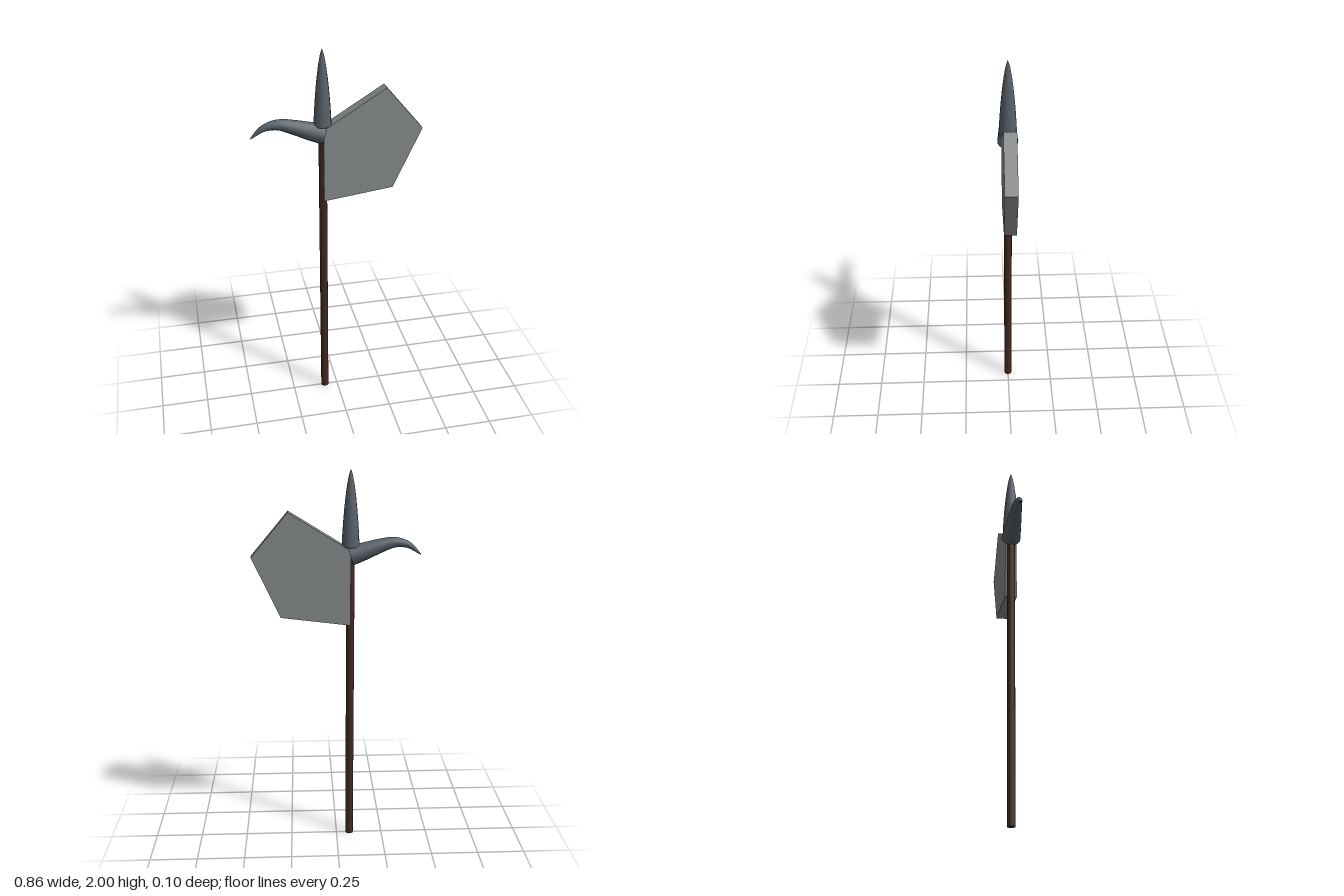
import * as THREE from 'three';
import { mergeVertices } from 'three/addons/utils/BufferGeometryUtils.js';

const AXIS = -0.071; // x of the shaft's centre line

function makeMesh(name, geometry, material) {
  const mesh = new THREE.Mesh(geometry, material);
  mesh.name = name;
  return mesh;
}

// Tube along a curve whose radius follows a rule of u (0 to 1)
function taperedTube(curve, steps, sides, radiusAt) {
  const geo = new THREE.TubeGeometry(curve, steps, 1, sides, false);
  const pos = geo.attributes.position;
  const p = new THREE.Vector3();
  for (let i = 0; i <= steps; i++) {
    const centre = curve.getPointAt(i / steps);
    for (let j = 0; j <= sides; j++) {
      const k = i * (sides + 1) + j;
      p.fromBufferAttribute(pos, k).sub(centre).multiplyScalar(radiusAt(i / steps)).add(centre);
      pos.setXYZ(k, p.x, p.y, p.z);
    }
  }
  geo.deleteAttribute('uv');
  geo.deleteAttribute('normal');
  const merged = mergeVertices(geo, 1e-5);
  merged.computeVertexNormals();
  return merged;
}

export function createModel() {
  const wood = new THREE.MeshStandardMaterial({ color: 0x43291f });
  wood.name = 'dark wood';
  const steel = new THREE.MeshStandardMaterial({ color: 0x59626a });
  steel.name = 'dark steel';
  const bladeSteel = new THREE.MeshStandardMaterial({ color: 0x868a8c });
  bladeSteel.name = 'pale steel';

  const model = new THREE.Group();
  model.name = 'halberd';

  // Shaft
  const shaft = makeMesh('shaft', new THREE.CylinderGeometry(0.021, 0.021, 1.6, 12), wood);
  shaft.position.set(AXIS, 0.8, 0);
  model.add(shaft);

  // Five-sided axe blade
  const outline = new THREE.Shape([
    [AXIS, 1.215], [0.285, 1.26], [0.429, 1.572], [0.241, 1.795], [AXIS, 1.602],
  ].map(([x, y]) => new THREE.Vector2(x, y)));
  const bladeGeo = new THREE.ExtrudeGeometry(outline, { depth: 0.062, bevelEnabled: false });
  bladeGeo.translate(0, 0, -0.031);
  model.add(makeMesh('blade', bladeGeo, bladeSteel));

  // Top spike, with a flat underside
  const profile = [
    [0.045, 1.618], [0.042, 1.68], [0.038, 1.74], [0.033, 1.8],
    [0.027, 1.86], [0.019, 1.92], [0.01, 1.97], [0, 2],
  ].map(([r, y]) => new THREE.Vector2(r, y));
  const spike = new THREE.Group();
  spike.name = 'topSpike';
  const spikeBase = makeMesh('spikeBase', new THREE.CircleGeometry(0.045, 12), steel);
  spikeBase.rotation.set(Math.PI / 2, 0, 0);
  spikeBase.position.y = 1.618;
  spike.add(makeMesh('spikeBody', new THREE.LatheGeometry(profile, 12), steel), spikeBase);
  spike.position.x = AXIS;
  model.add(spike);

  // Curved rear hook, closed at its root
  const curve = new THREE.CatmullRomCurve3([
    [-0.07, 1.573], [-0.14, 1.594], [-0.21, 1.618], [-0.29, 1.638], [-0.36, 1.626], [-0.43, 1.573],
  ].map(([x, y]) => new THREE.Vector3(x, y, 0)));
  const hook = new THREE.Group();
  hook.name = 'rearHook';
  hook.add(makeMesh('hookBody', taperedTube(curve, 24, 14, (u) => 0.052 * Math.pow(1 - u, 0.75)), steel));
  const root = makeMesh('hookRoot', new THREE.CircleGeometry(0.052, 14), steel);
  root.position.copy(curve.getPointAt(0));
  root.quaternion.setFromUnitVectors(new THREE.Vector3(0, 0, 1), curve.getTangentAt(0).negate());
  hook.add(root);
  model.add(hook);

  return model;
}
